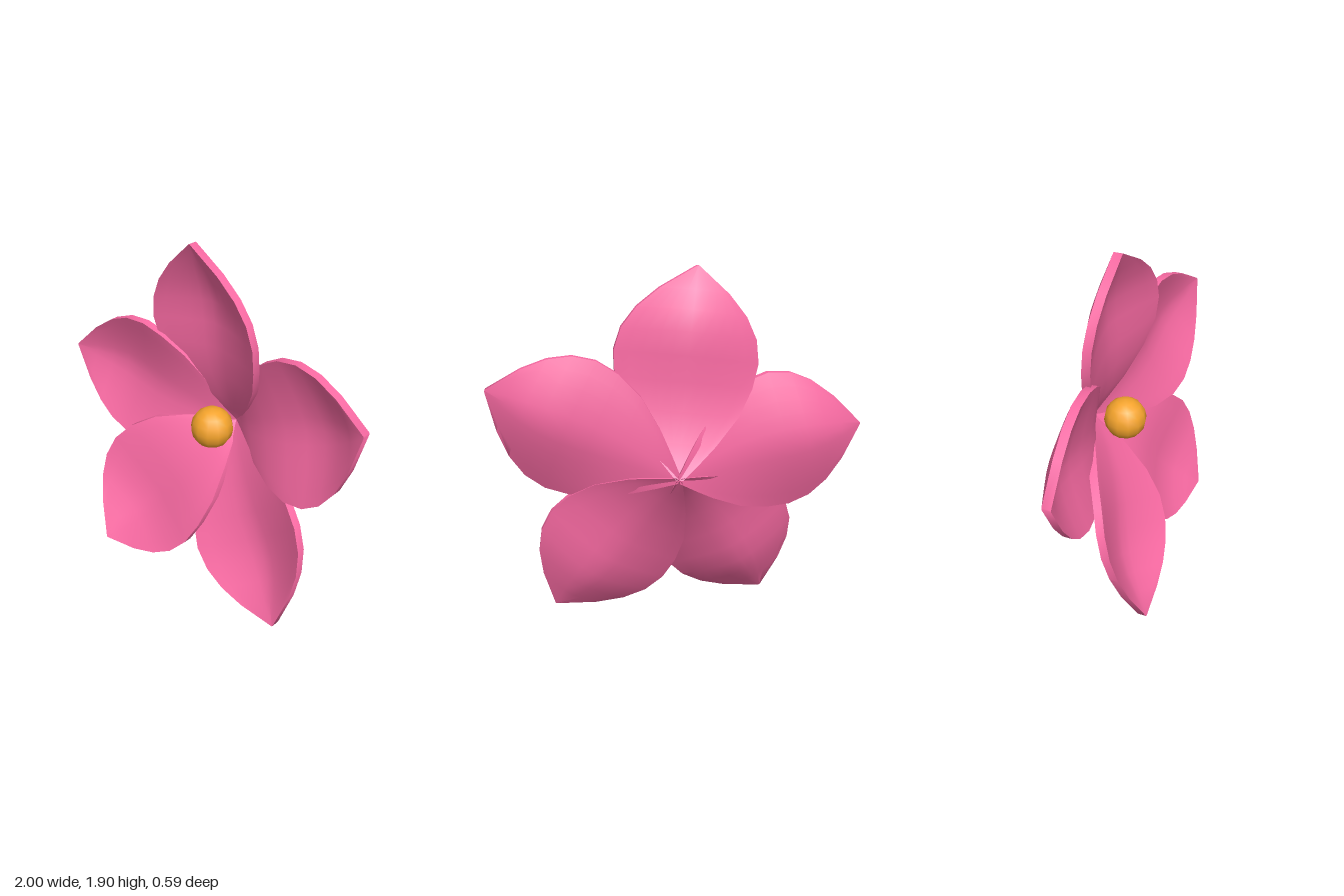
import * as THREE from 'three';
import { toCreasedNormals } from 'three/addons/utils/BufferGeometryUtils.js';

const BASE = new THREE.Vector3(0.03, 0.84, -0.285);
const THICKNESS = 0.048;
const COLS = 10;

// Petal stations from base to tip: [distance along, half width, midrib offset, rim offset]
const STATIONS = [
  [0, 0.02, 0, 0],
  [0.08, 0.1, 0.022, 0.028],
  [0.17, 0.185, 0.04, 0.06],
  [0.32, 0.3, 0.042, 0.092],
  [0.46, 0.36, 0.02, 0.103],
  [0.58, 0.378, -0.015, 0.09],
  [0.69, 0.352, -0.038, 0.068],
  [0.79, 0.285, -0.036, 0.046],
  [0.885, 0.18, -0.02, 0.025],
  [1, 0.004, 0, 0],
];

// Cupped petal of even thickness, lofted from closed rings between BASE and tip
function petalGeometry(tip, twist) {
  const axis = tip.clone().sub(BASE);
  const along = axis.clone().normalize();
  const forward = new THREE.Vector3(0, 0, 1);
  const side = along.clone().cross(forward).normalize().applyAxisAngle(along, twist);
  const out = side.clone().cross(along);

  const positions = [];
  const index = [];
  const ring = 2 * (COLS + 1);
  for (const [s, half, mid, rim] of STATIONS) {
    const bow = 0.015 * Math.sin(Math.PI * s);
    for (let k = 0; k < ring; k++) {
      const front = k <= COLS;
      const q = ((front ? k : ring - 1 - k) / COLS) * 2 - 1;
      const p = BASE.clone()
        .addScaledVector(axis, s)
        .addScaledVector(side, half * q + bow)
        .addScaledVector(out, mid + (rim - mid) * Math.pow(Math.abs(q), 1.45))
        .addScaledVector(forward, front ? THICKNESS : 0);
      positions.push(p.x, p.y, p.z);
    }
  }
  for (let i = 0; i < STATIONS.length - 1; i++) {
    for (let k = 0; k < ring; k++) {
      const a = i * ring + k;
      const b = i * ring + ((k + 1) % ring);
      index.push(a, b, b + ring, a, b + ring, a + ring);
    }
  }
  // End caps
  const last = (STATIONS.length - 1) * ring;
  for (let k = 1; k < ring - 1; k++) {
    index.push(0, k + 1, k, last, last + k, last + k + 1);
  }
  const geometry = new THREE.BufferGeometry();
  geometry.setAttribute('position', new THREE.Float32BufferAttribute(positions, 3));
  geometry.setIndex(index);
  return toCreasedNormals(geometry, 0.9);
}

export function createModel() {
  const flower = new THREE.Group();
  flower.name = 'flower';
  const pink = new THREE.MeshStandardMaterial({ color: 0xfb6ba4 });
  const gold = new THREE.MeshStandardMaterial({ color: 0xf5a42c });

  // Petals: tip position and twist about the petal's own axis
  const petals = [
    ['topPetal', [-0.1, 1.9, -0.05], -0.09],
    ['upperLeftPetal', [1, 1.28, -0.025], -0.15],
    ['lowerLeftPetal', [0.68, 0.005, 0.148], -0.1],
    ['lowerRightPetal', [-0.525, 0.005, 0.25], 0.14],
    ['upperRightPetal', [-1, 1.05, -0.028], 0.05],
  ];
  for (const [name, tip, twist] of petals) {
    const petal = new THREE.Mesh(petalGeometry(new THREE.Vector3(...tip), twist), pink);
    petal.name = name;
    flower.add(petal);
  }

  // Round centre
  const centre = new THREE.Mesh(new THREE.SphereGeometry(0.117, 12, 8), gold);
  centre.name = 'flowerCentre';
  centre.position.set(0.02, 0.877, -0.045);
  flower.add(centre);

  return flower;
}
